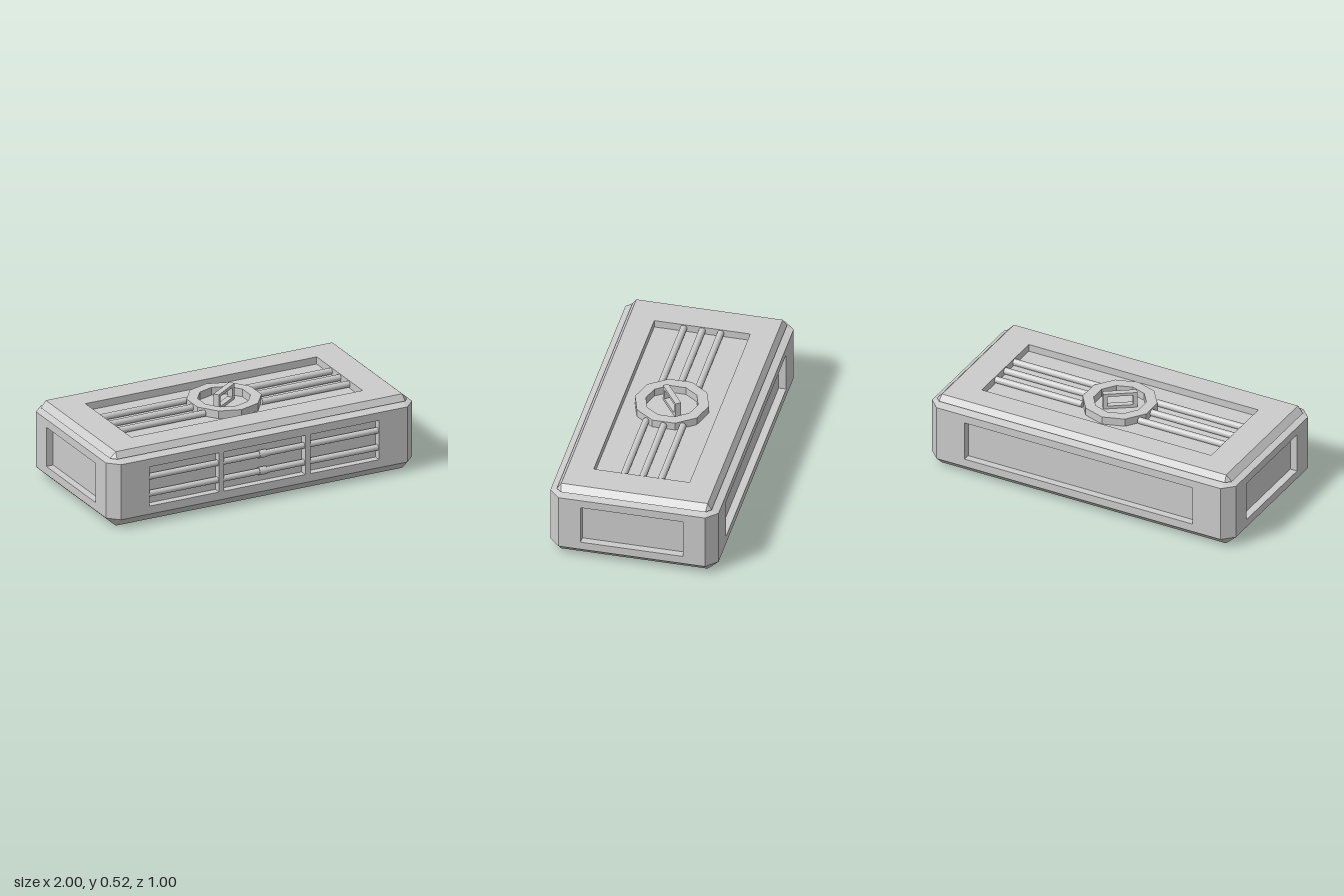
import * as THREE from 'three';

const DEPTH = 0.045; // depth of every recess
const material = new THREE.MeshStandardMaterial({ color: 0xcccccc });

function add(parent, name, geometry, x = 0, y = 0, z = 0) {
  const mesh = new THREE.Mesh(geometry, material);
  mesh.name = name;
  mesh.position.set(x, y, z);
  parent.add(mesh);
  return mesh;
}

// Eight points of a rectangle with cut corners, running counter-clockwise from the front face
function ring([y, hx, hz, cut]) {
  const a = hx - cut, b = hz - cut;
  return [[-a, hz], [a, hz], [hx, b], [hx, -b], [a, -hz], [-a, -hz], [-hx, -b], [-hx, b]]
    .map(([x, z]) => new THREE.Vector3(x, y, z));
}

// Flat-faced skin between successive rings; cornersOnly leaves the four main sides open
function shell(levels, cornersOnly = false) {
  const pts = [];
  const tri = (a, b, c) => {
    if (a.distanceTo(b) > 1e-5 && b.distanceTo(c) > 1e-5 && c.distanceTo(a) > 1e-5) pts.push(a, b, c);
  };
  for (let k = 0; k + 1 < levels.length; k++) {
    const lo = ring(levels[k]), hi = ring(levels[k + 1]);
    for (let i = 0; i < 8; i++) {
      if (cornersOnly && i % 2 === 0) continue;
      const j = (i + 1) % 8;
      tri(lo[i], lo[j], hi[j]);
      tri(lo[i], hi[j], hi[i]);
    }
  }
  const geometry = new THREE.BufferGeometry().setFromPoints(pts);
  geometry.computeVertexNormals();
  return geometry;
}

function rectPath(path, w, h) {
  return path.moveTo(-w / 2, -h / 2).lineTo(w / 2, -h / 2).lineTo(w / 2, h / 2).lineTo(-w / 2, h / 2).closePath();
}

// Rectangular frame extruded towards +z
function frameGeometry(w, h, holeW, holeH, depth) {
  const shape = rectPath(new THREE.Shape(), w, h);
  shape.holes.push(rectPath(new THREE.Path(), holeW, holeH));
  return new THREE.ExtrudeGeometry(shape, { depth, bevelEnabled: false });
}

// Panel facing +z whose outer face lies at z = 0, with a sunken rectangle
function recessedPanel(parent, name, w, h, holeW, holeH) {
  const panel = new THREE.Group();
  panel.name = name;
  add(panel, name + 'Frame', frameGeometry(w, h, holeW, holeH, DEPTH), 0, 0, -DEPTH);
  add(panel, name + 'Floor', new THREE.PlaneGeometry(holeW, holeH), 0, 0, -DEPTH);
  parent.add(panel);
  return panel;
}

function bar(parent, name, length, radius, x, y, z) {
  const geometry = new THREE.CylinderGeometry(radius, radius, length, 14).rotateZ(Math.PI / 2);
  return add(parent, name, geometry, x, y, z);
}

function decagon(path, r) {
  for (let i = 0; i < 10; i++) {
    const a = Math.PI / 2 + i * Math.PI / 5;
    path[i ? 'lineTo' : 'moveTo'](r * Math.cos(a), r * Math.sin(a));
  }
  return path.closePath();
}

export function createModel() {
  const model = new THREE.Group();
  model.name = 'ventedCase';

  // Bevelled case and overhanging lid
  const foot = [0, 0.935, 0.435, 0];
  const low = [0.06, 1, 0.5, 0.065];
  const high = [0.405, 1, 0.5, 0.065];
  const neck = [0.42, 0.935, 0.435, 0];
  const rim = [0.425, 0.97, 0.46, 0.03];
  const crown = [0.463, 0.935, 0.435, 0];
  add(model, 'lowerBevel', shell([foot, low]));
  add(model, 'cornerFaces', shell([low, high], true));
  add(model, 'upperBevel', shell([high, neck]));
  add(model, 'lid', shell([neck, rim, crown]));

  // Sunken panels on all six sides
  const sides = [['frontPanel', 1.87, 1.5, 0.5], ['leftPanel', 0.87, 0.61, 1],
    ['backPanel', 1.87, 1.5, 0.5], ['rightPanel', 0.87, 0.61, 1]];
  sides.forEach(([name, w, holeW, reach], i) => {
    const angle = i * Math.PI / 2;
    const panel = recessedPanel(model, name, w, 0.345, holeW, 0.245);
    panel.rotation.y = angle;
    panel.position.set(reach * Math.sin(angle), 0.2325, reach * Math.cos(angle));
  });
  const top = recessedPanel(model, 'topPanel', 1.87, 0.87, 1.51, 0.57);
  top.rotation.x = -Math.PI / 2;
  top.position.y = 0.463;
  const bottom = recessedPanel(model, 'bottomPanel', 1.87, 0.87, 1.51, 0.57);
  bottom.rotation.x = Math.PI / 2;

  // Front grille: two rails with collars, and two uprights
  for (const y of [0.178, 0.284]) {
    bar(model, 'frontRail', 1.5, 0.019, 0, y, 0.475);
    bar(model, 'railCollar', 0.05, 0.024, 0, y, 0.475);
  }
  for (const x of [-0.278, 0.285]) {
    add(model, 'frontUpright', new THREE.BoxGeometry(0.033, 0.245, DEPTH), x, 0.2325, 0.5 - DEPTH / 2);
  }

  // Top grille: three rails on each side of the dial
  for (const z of [-0.11, 0, 0.11]) {
    for (const s of [-1, 1]) bar(model, 'topRail', 0.57, 0.02, s * 0.47, 0.439, z);
  }

  // Ten-sided dial ring
  const dial = decagon(new THREE.Shape(), 0.22);
  dial.holes.push(decagon(new THREE.Path(), 0.155));
  const dialGeometry = new THREE.ExtrudeGeometry(dial, { depth: 0.048, bevelEnabled: false });
  add(model, 'dialRing', dialGeometry.rotateX(-Math.PI / 2), 0, 0.418, 0);

  // Open handle standing diagonally in the dial
  const handle = frameGeometry(0.2, 0.099, 0.15, 0.062, 0.035).translate(0, 0, -0.0175);
  add(model, 'handle', handle, 0, 0.4675, 0).rotation.y = THREE.MathUtils.degToRad(35);

  return model;
}
